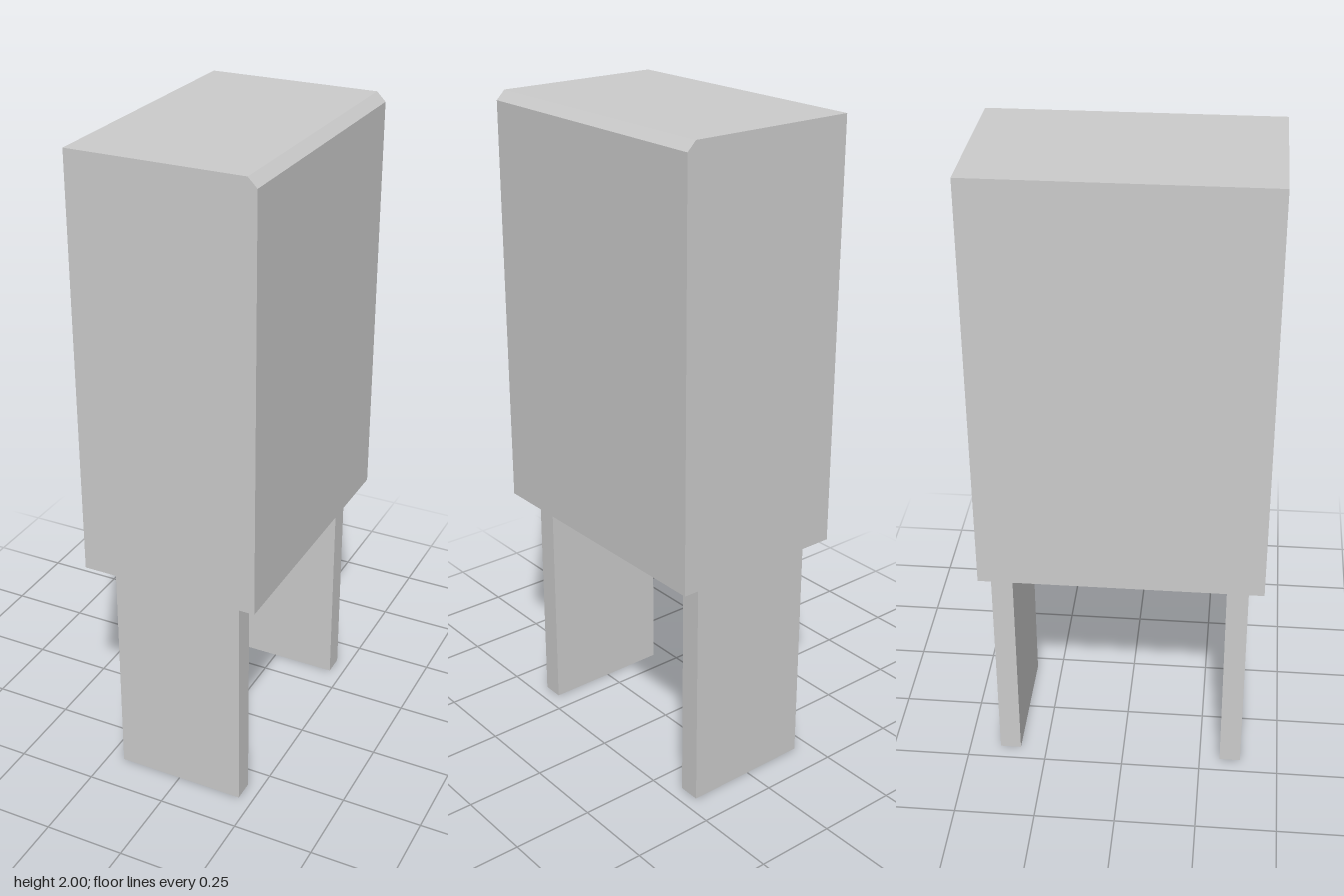
import * as THREE from 'three';

export function createModel() {
  const model = new THREE.Group();
  const material = new THREE.MeshStandardMaterial({ color: 0xcccccc, flatShading: true });

  // Body: rectangular section with one chamfered top edge, extruded along z
  const halfWidth = 0.275, bottom = 0.73, top = 2, depth = 0.852, chamfer = 0.027;
  const section = new THREE.Shape([
    new THREE.Vector2(-halfWidth, bottom),
    new THREE.Vector2(halfWidth, bottom),
    new THREE.Vector2(halfWidth, top - chamfer),
    new THREE.Vector2(halfWidth - chamfer, top),
    new THREE.Vector2(-halfWidth, top),
  ]);
  const bodyGeometry = new THREE.ExtrudeGeometry(section, { depth, bevelEnabled: false });
  bodyGeometry.translate(0, 0, -depth / 2);
  const body = new THREE.Mesh(bodyGeometry, material);
  body.name = 'body';
  model.add(body);

  // Flat legs, one near each end of the body
  for (const [name, z] of [['frontLeg', 0.348], ['backLeg', -0.368]]) {
    const leg = new THREE.Mesh(new THREE.BoxGeometry(0.406, bottom, 0.066), material);
    leg.name = name;
    leg.position.set(0.003, bottom / 2, z);
    model.add(leg);
  }

  return model;
}
